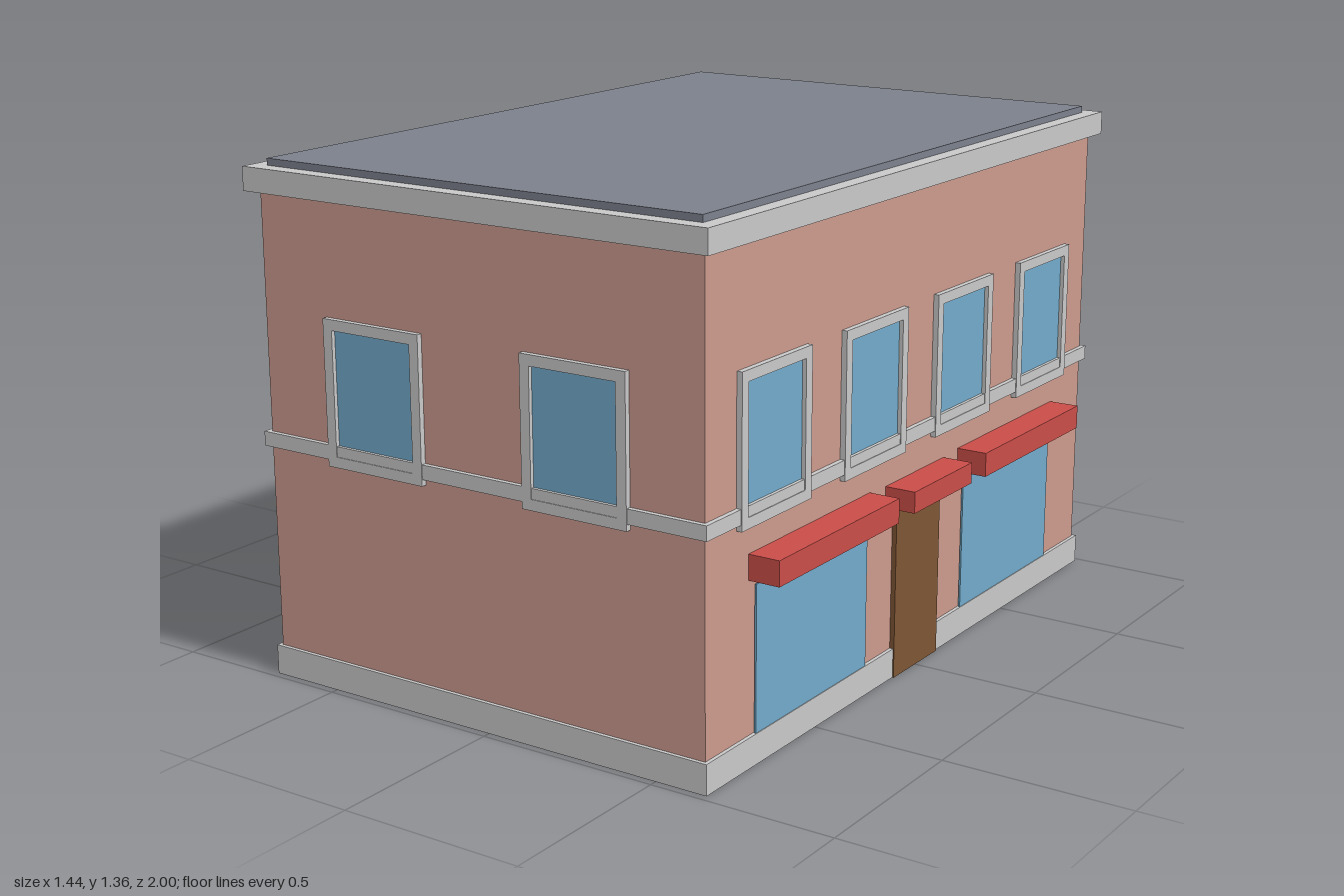
import * as THREE from 'three';

const mat = (name, color) => {
  const m = new THREE.MeshStandardMaterial({ color });
  m.name = name;
  return m;
};

export function createModel() {
  const brick = mat('brick', 0xcb9a8e);
  const stone = mat('stone', 0xc8c8c8);
  const glass = mat('glass', 0x73aacb);
  const slate = mat('roof slate', 0x7c808c);
  const red = mat('awning red', 0xc94d48);
  const wood = mat('door wood', 0x7d5534);

  const building = new THREE.Group();
  building.name = 'building';

  // Box given by its lowest and highest corners
  const block = (name, material, [x0, y0, z0], [x1, y1, z1], parent = building) => {
    const mesh = new THREE.Mesh(new THREE.BoxGeometry(x1 - x0, y1 - y0, z1 - z0), material);
    mesh.position.set((x0 + x1) / 2, (y0 + y1) / 2, (z0 + z1) / 2);
    mesh.name = name;
    parent.add(mesh);
    return mesh;
  };

  // Walls and the stone courses around them
  const left = 0.635, right = -0.692, depth = 0.972;
  block('walls', brick, [right, 0, -depth], [left, 1.3, depth]);
  block('plinth', stone, [-0.703, 0.001, -0.982], [0.645, 0.08, 0.982]);
  block('stringCourse', stone, [-0.707, 0.622, -0.985], [0.648, 0.66, 0.985]);
  block('cornice', stone, [-0.723, 1.28, -1], [0.662, 1.342, 1]);
  block('roof', slate, [-0.68, 1.335, -0.957], [0.62, 1.36, 0.957]);

  // Upper window: stone frame with a hole and a recessed pane, facing +z
  const frameW = 0.304, frameH = 0.38, border = 0.028;
  const rect = (PathType, w, h) => new PathType([
    new THREE.Vector2(-w / 2, -h / 2), new THREE.Vector2(w / 2, -h / 2),
    new THREE.Vector2(w / 2, h / 2), new THREE.Vector2(-w / 2, h / 2)]);
  const frameShape = rect(THREE.Shape, frameW, frameH);
  frameShape.holes.push(rect(THREE.Path, frameW - 2 * border, frameH - 2 * border));
  const frameGeo = new THREE.ExtrudeGeometry(frameShape, { depth: 0.015, bevelEnabled: false });

  const addWindow = (x, z, turn) => {
    const win = new THREE.Group();
    win.name = 'upperWindow';
    const frame = new THREE.Mesh(frameGeo, stone);
    frame.name = 'windowFrame';
    win.add(frame);
    const w = frameW / 2 - border, h = frameH / 2 - border;
    block('windowPane', glass, [-w, -h, -0.003], [w, h, 0.004], win);
    win.position.set(x, 0.795, z);
    win.rotation.y = turn;
    building.add(win);
  };
  for (const x of [-0.336, 0.276]) addWindow(x, depth, 0);
  for (const z of [-0.692, -0.23, 0.23, 0.692]) addWindow(left, z, Math.PI / 2);

  // Shop windows and their awnings
  for (const side of [-1, 1]) {
    const c = side * 0.512;
    block('shopWindow', glass, [0.638, 0.08, c - 0.257], [0.643, 0.455, c + 0.257]);
    block('shopAwning', red, [0.63, 0.47, c - 0.28], [0.72, 0.535, c + 0.28]);
  }

  // Door with its smaller awning
  block('door', wood, [0.63, 0, -0.115], [0.648, 0.46, 0.115]);
  block('doorAwning', red, [0.63, 0.473, -0.153], [0.72, 0.53, 0.153]);

  return building;
}
